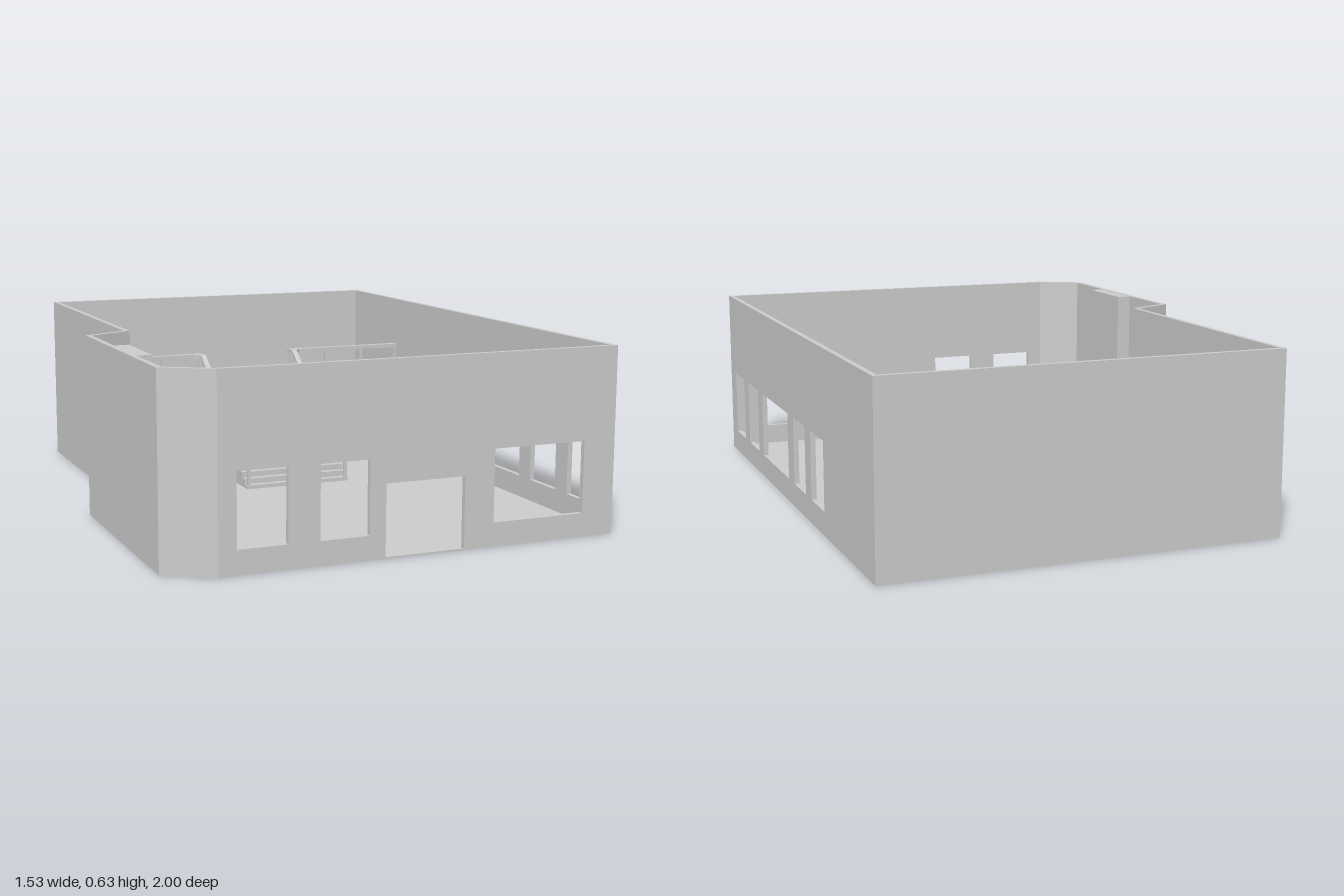
import * as THREE from 'three';

const mat = new THREE.MeshStandardMaterial({ color: 0xcccccc, flatShading: true });
const H = 0.627, T = 0.018, FLOOR = 0.006, MEZZ = 0.3, RISE = 0.02, RUN = 0.0257;

function add(parent, name, geo) {
  const m = new THREE.Mesh(geo, mat);
  m.name = name;
  parent.add(m);
  return m;
}

// Box given by its minimum and maximum corners
function block(parent, name, [x0, y0, z0], [x1, y1, z1]) {
  const geo = new THREE.BoxGeometry(x1 - x0, y1 - y0, z1 - z0);
  geo.translate((x0 + x1) / 2, (y0 + y1) / 2, (z0 + z1) / 2);
  return add(parent, name, geo);
}

const shapeOf = pts => new THREE.Shape(pts.map(p => new THREE.Vector2(...p)));

// Side profile of [z, y] points, extruded from x0 to x1
function profile(parent, name, pts, x0, x1) {
  const geo = new THREE.ExtrudeGeometry(shapeOf(pts.map(([z, y]) => [-z, y])), { depth: x1 - x0, bevelEnabled: false });
  geo.rotateY(Math.PI / 2).translate(x0, 0, 0);
  return add(parent, name, geo);
}

// Outer footprint as [x, z], starting at the front right corner as seen from the front
const plan = [[0.765, 1], [0.765, -1], [-0.61, -1], [-0.61, 0.035], [-0.765, 0.11], [-0.765, 0.91], [-0.61, 1]];
const at = i => plan[(i + plan.length) % plan.length];
function direction(i) {
  const a = at(i), b = at(i + 1);
  return new THREE.Vector3(b[0] - a[0], 0, b[1] - a[1]).normalize();
}
function mitre(i) {
  const p = direction(i - 1), q = direction(i);
  return T * Math.tan(Math.atan2(p.z * q.x - p.x * q.z, p.dot(q)) / 2);
}

// One wall panel with mitred ends; openings are [u0, u1, y0, y1]
function wall(parent, i, name, openings = []) {
  const a = at(i), b = at(i + 1), L = Math.hypot(b[0] - a[0], b[1] - a[1]);
  const s = shapeOf([[0, 0], [L, 0], [L, H], [0, H]]);
  for (const [u0, u1, y0, y1] of openings)
    s.holes.push(new THREE.Path([[u0, y0], [u0, y1], [u1, y1], [u1, y0]].map(p => new THREE.Vector2(...p))));
  const geo = new THREE.ExtrudeGeometry(s, { depth: T, bevelEnabled: false });
  const pos = geo.attributes.position, m0 = mitre(i), m1 = mitre(i + 1);
  for (let k = 0; k < pos.count; k++) {
    if (pos.getZ(k) > T / 2) continue;
    if (pos.getX(k) < 1e-4) pos.setX(k, m0);
    else if (pos.getX(k) > L - 1e-4) pos.setX(k, L - m1);
  }
  const d = direction(i), up = new THREE.Vector3(0, 1, 0), n = d.clone().cross(up);
  geo.translate(0, 0, -T);
  geo.applyMatrix4(new THREE.Matrix4().makeBasis(d, up, n).setPosition(a[0], 0, a[1]));
  geo.computeVertexNormals();
  add(parent, name, geo);
}

// Height of the stair handrail along z
const railPath = [[0.01, 0.14], [-0.18, 0.29], [-0.34, 0.29], [-0.54, 0.44], [-0.595, 0.44]];
function railY(z) {
  for (let i = 0; i < railPath.length - 1; i++) {
    const [za, ya] = railPath[i], [zb, yb] = railPath[i + 1];
    if (z <= za && z >= zb) return ya + (yb - ya) * (za - z) / (za - zb);
  }
  return railPath[0][1];
}

function fireplace() {
  const g = new THREE.Group();
  g.name = 'fireplace';
  const back = -0.748;
  for (const z of [0.34, 0.64]) block(g, 'fireplaceLeg', [back, 0, z], [-0.66, 0.16, z + 0.05]);
  block(g, 'mantel', [back, 0.155, 0.32], [-0.63, 0.2, 0.71]);
  block(g, 'chimney', [back, 0.2, 0.39], [-0.695, H - 0.001, 0.645]);
  // Sloped hood: a box whose top ring is pulled in to the chimney
  const hood = new THREE.BoxGeometry(1, 1, 1), p = hood.attributes.position;
  for (let i = 0; i < p.count; i++) {
    const top = p.getY(i) > 0, out = p.getX(i) > 0, front = p.getZ(i) > 0;
    p.setXYZ(i, out ? (top ? -0.695 : -0.63) : back, top ? 0.225 : 0.2,
      front ? (top ? 0.645 : 0.71) : (top ? 0.39 : 0.32));
  }
  hood.computeVertexNormals();
  add(g, 'hood', hood);
  return g;
}

export function createModel() {
  const root = new THREE.Group();
  root.name = 'house';

  // Floor slab
  const slab = new THREE.ExtrudeGeometry(shapeOf(plan.map(([x, z]) => [x, -z])), { depth: FLOOR, bevelEnabled: false });
  add(root, 'floor', slab.rotateX(-Math.PI / 2));

  // Outer walls with windows and the doorway
  const walls = new THREE.Group();
  walls.name = 'walls';
  root.add(walls);
  const sideWindows = [[0.91, 0.755], [0.68, 0.515], [0.44, 0.045], [-0.035, -0.195], [-0.27, -0.435]];
  const frontOpenings = [[-0.55, -0.385, 0.08], [-0.28, -0.115, 0.08], [-0.06, 0.215, FLOOR, 0.24], [0.32, 0.65, 0.08]];
  wall(walls, 0, 'leftWall', sideWindows.map(([z0, z1]) => [1 - z0, 1 - z1, 0.082, 0.32]));
  wall(walls, 1, 'backWall');
  wall(walls, 2, 'rightWall');
  wall(walls, 3, 'bayBackWall');
  wall(walls, 4, 'bayWall');
  wall(walls, 5, 'bayFrontWall');
  wall(walls, 6, 'frontWall', frontOpenings.map(([x0, x1, y0, y1 = 0.32]) => [x0 + 0.61, x1 + 0.61, y0, y1]));

  // Raised floor at the back
  block(root, 'raisedFloor', [-0.6, 0.001, -0.99], [0.755, MEZZ, -0.57]);

  // Staircase: seven steps, a landing, eight steps
  const steps = [[-0.026, 0.002]];
  let y = 0, z = -0.026;
  const climb = n => {
    for (let i = 0; i < n; i++) {
      if (i) z -= RUN;
      steps.push([z, y], [z, y += RISE]);
    }
  };
  climb(7);
  z = -0.36;
  climb(8);
  steps.push([-0.575, MEZZ], [-0.575, 0.002]);
  steps.splice(1, 1);
  profile(root, 'stairs', steps, -0.13, 0.28);

  // Railings on both sides of the stairs and along the raised floor
  const rails = new THREE.Group();
  rails.name = 'railings';
  root.add(rails);
  const W = 0.02, D = 0.014;
  const outline = [...railPath, ...railPath.map(([a, b]) => [a, b - D]).reverse()];
  for (const x0 of [-0.13, 0.26]) {
    profile(rails, 'stairRail', outline, x0, x0 + W);
    for (const pz of [-0.035, -0.105, -0.185, -0.35, -0.44, -0.535]) {
      const t = railY(pz);
      block(rails, 'stairPost', [x0 + 0.004, t - 0.165, pz - 0.006], [x0 + 0.016, t - 0.006, pz + 0.006]);
    }
  }
  for (const [x0, x1] of [[-0.6, -0.11], [0.26, 0.755]]) {
    block(rails, 'balconyRail', [x0, 0.44 - D, -0.595], [x1, 0.44, -0.57]);
    for (let i = 0; i < 4; i++) {
      const px = x0 + 0.012 + (x1 - x0 - 0.024) * i / 3;
      block(rails, 'balconyPost', [px - 0.006, MEZZ - 0.002, -0.589], [px + 0.006, 0.43, -0.577]);
    }
  }
  // Angled corner pieces joining the rails
  for (const [x, s] of [[-0.13, -1], [0.28, 1]]) {
    const tri = [[x, 0.54], [x + s * 0.02, 0.57], [x, 0.57]];
    const geo = new THREE.ExtrudeGeometry(shapeOf(tri), { depth: D, bevelEnabled: false });
    add(rails, 'railCorner', geo.rotateX(-Math.PI / 2).translate(0, 0.44 - D, 0));
  }

  root.add(fireplace());
  return root;
}
